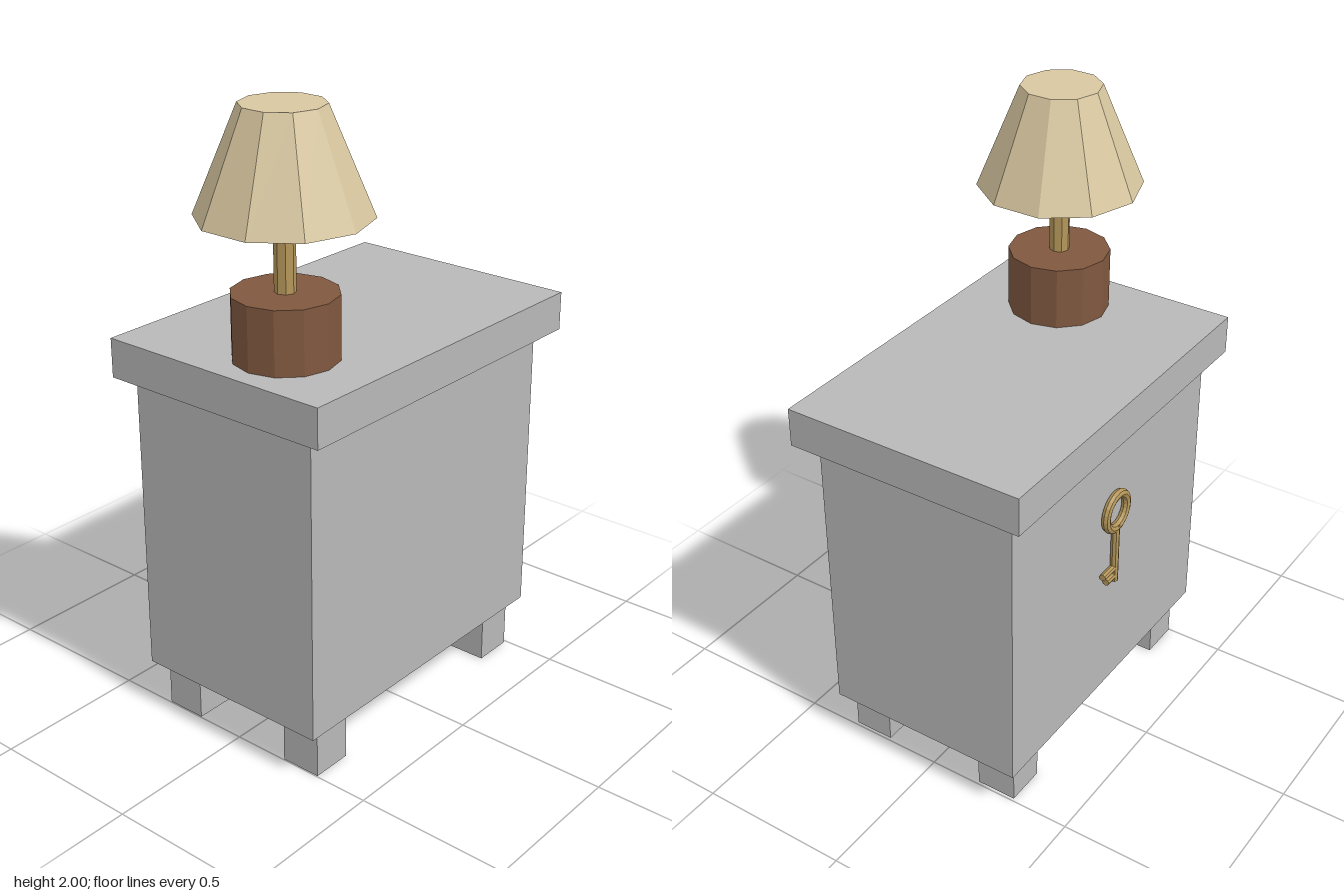
import * as THREE from 'three';

const material = (name, color) => {
  const m = new THREE.MeshStandardMaterial({ color, flatShading: true });
  m.name = name;
  return m;
};

export function createModel() {
  const grey = material('grey paint', 0xb8b8b8);
  const cream = material('cream shade', 0xd8c7a0);
  const brown = material('brown wood', 0x80583f);
  const brass = material('brass', 0xb4965a);

  const model = new THREE.Group();
  model.name = 'bedsideCabinet';

  const add = (parent, name, geometry, mat, x, y, z) => {
    const mesh = new THREE.Mesh(geometry, mat);
    mesh.name = name;
    mesh.position.set(x, y, z);
    parent.add(mesh);
    return mesh;
  };
  // Box given by its min and max corners
  const box = (name, [x0, y0, z0], [x1, y1, z1]) =>
    add(model, name, new THREE.BoxGeometry(x1 - x0, y1 - y0, z1 - z0), grey,
      (x0 + x1) / 2, (y0 + y1) / 2, (z0 + z1) / 2);

  // Cabinet
  box('body', [-0.54, 0.16, -0.34], [0.55, 1.14, 0.34]);
  box('top', [-0.58, 1.14, -0.4], [0.605, 1.265, 0.4]);
  for (const [x, side] of [[-0.43, 'Right'], [0.423, 'Left']]) {
    for (const [z, end] of [[0.252, 'front'], [-0.236, 'back']]) {
      box(end + side + 'Leg', [x - 0.067, 0, z - 0.067], [x + 0.067, 0.16, z + 0.067]);
    }
  }

  // Lamp: each part is a cylinder between two heights
  const lamp = new THREE.Group();
  lamp.name = 'lamp';
  lamp.position.set(-0.36, 0, 0.094);
  model.add(lamp);
  const round = (name, mat, rTop, rBottom, y0, y1, sides) =>
    add(lamp, name, new THREE.CylinderGeometry(rTop, rBottom, y1 - y0, sides), mat, 0, (y0 + y1) / 2, 0);
  round('lampBase', brown, 0.16, 0.16, 1.265, 1.463, 12);
  round('lampPole', brass, 0.032, 0.032, 1.463, 1.7, 8);
  round('lampShade', cream, 0.125, 0.257, 1.683, 2, 10);

  // Key hanging on the back, teeth towards +x
  const key = new THREE.Group();
  key.name = 'key';
  key.position.set(0.003, 0, -0.355);
  model.add(key);
  add(key, 'keyRing', new THREE.TorusGeometry(0.06, 0.015, 8, 20), brass, 0, 0.845, 0);
  add(key, 'keyStem', new THREE.CylinderGeometry(0.014, 0.014, 0.215, 8), brass, 0, 0.6875, 0);
  for (const [y, length] of [[0.63, 0.07], [0.6, 0.05]]) {
    const tooth = add(key, 'keyTooth', new THREE.CylinderGeometry(0.012, 0.012, length, 8), brass, length / 2, y, 0);
    tooth.rotation.z = Math.PI / 2;
  }

  return model;
}
